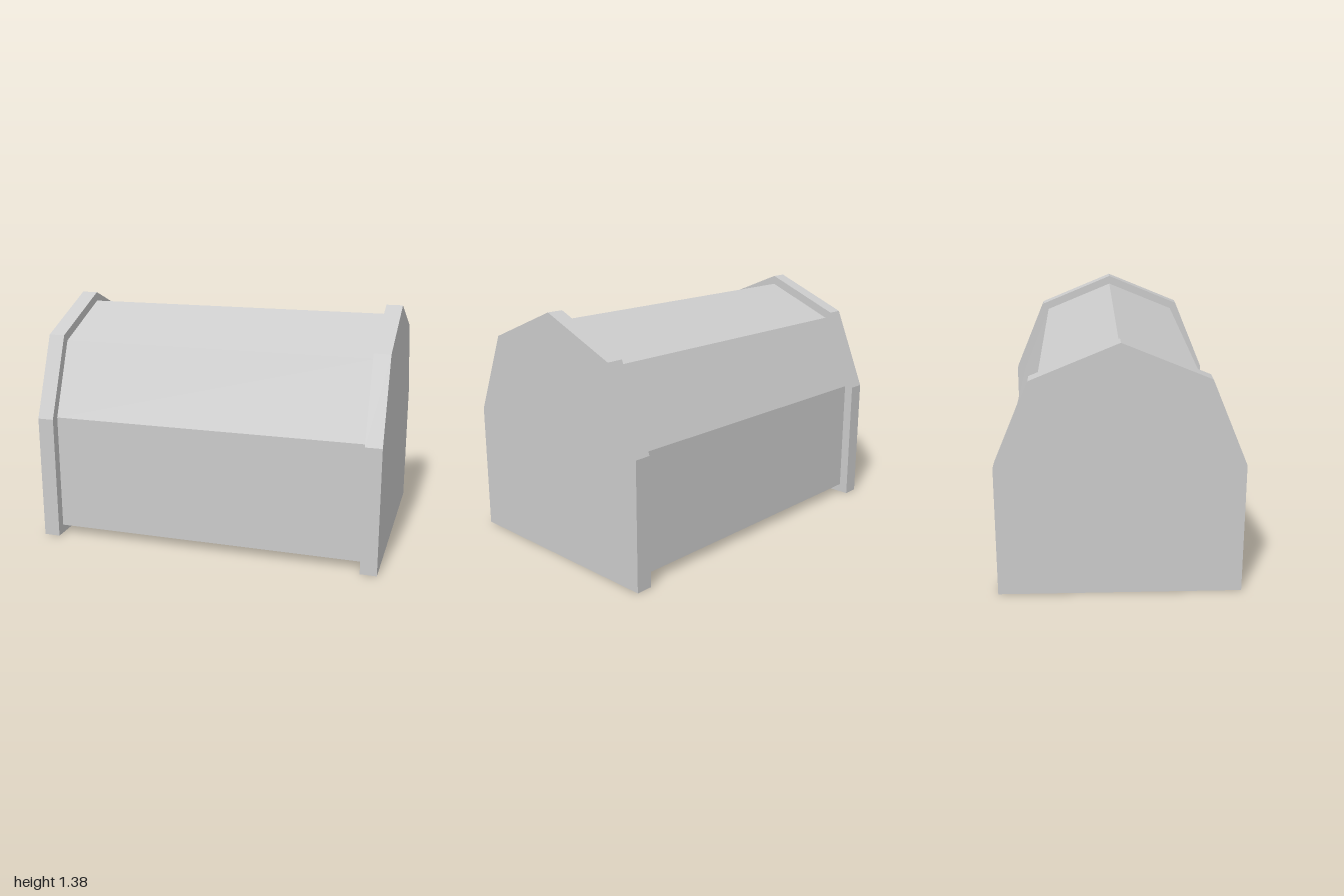
import * as THREE from 'three';

const SHOULDER = 0.726; // height where the half-octagon lid starts
const HALF = 1, END = 0.094;

// Arched cross-section (upright sides, half-octagon top) extruded along x from x0 to x1
function archedPart(name, radius, bottom, x0, x1, material) {
  const shape = new THREE.Shape();
  shape.moveTo(-radius, bottom);
  shape.lineTo(radius, bottom);
  for (let i = 0; i <= 4; i++) {
    const a = (i * Math.PI) / 4;
    shape.lineTo(radius * Math.cos(a), SHOULDER + radius * Math.sin(a));
  }
  shape.closePath();
  const geometry = new THREE.ExtrudeGeometry(shape, { depth: x1 - x0, bevelEnabled: false });
  geometry.rotateY(Math.PI / 2).translate(x0, 0, 0);
  const mesh = new THREE.Mesh(geometry, material);
  mesh.name = name;
  return mesh;
}

export function createModel() {
  const material = new THREE.MeshStandardMaterial({ color: 0xcccccc, flatShading: true });
  const group = new THREE.Group();
  group.name = 'archedChest';
  // Body, raised slightly and inset from the end panels
  group.add(archedPart('body', 0.602, 0.05, -HALF + END, HALF - END, material));
  // End panels, standing on the ground
  group.add(archedPart('leftEndPanel', 0.655, 0, HALF - END, HALF, material));
  group.add(archedPart('rightEndPanel', 0.655, 0, -HALF, -HALF + END, material));
  return group;
}
